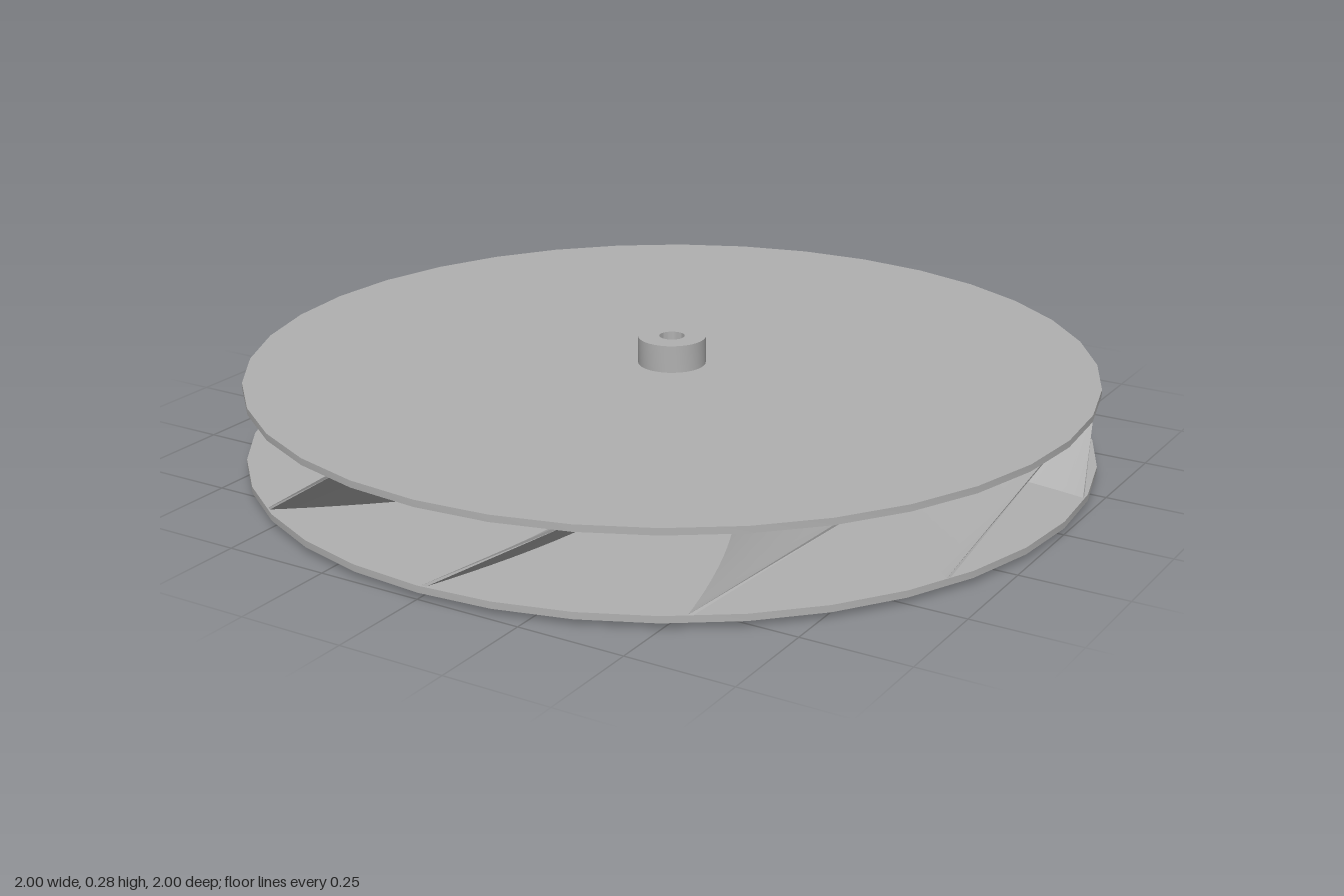
import * as THREE from 'three';
import { toCreasedNormals } from 'three/addons/utils/BufferGeometryUtils.js';

const BLADES = 11;
const PITCH = (Math.PI * 2) / BLADES;
const rad = THREE.MathUtils.degToRad;

export function createModel() {
  const model = new THREE.Group();
  model.name = 'impeller';
  const metal = new THREE.MeshStandardMaterial({ color: 0xb0b0b0 });
  metal.name = 'grey metal';

  // Turned part: closed profile, counter-clockwise in (radius, height)
  const turned = (name, profile, segments) => {
    const points = [...profile, profile[0]].map(([r, y]) => new THREE.Vector2(r, y));
    const geometry = toCreasedNormals(new THREE.LatheGeometry(points, segments), 0.5);
    const mesh = new THREE.Mesh(geometry, metal);
    mesh.name = name;
    model.add(mesh);
  };
  const ring = (name, inner, outer, y0, y1, segments) =>
    turned(name, [[inner, y0], [outer, y0], [outer, y1], [inner, y1]], segments);

  // Upper and lower discs, with the raised lip around the inlet
  ring('topDisc', 0.03, 1, 0.204, 0.22, 36);
  ring('bottomDisc', 0.32, 1, 0.015, 0.031, 36);
  ring('inletLip', 0.32, 0.355, 0, 0.016, 36);

  // Shaft collar on top and tapered hub inside, both bored through
  ring('shaftCollar', 0.03, 0.08, 0.219, 0.285, 32);
  turned('taperedHub', [[0.03, 0.018], [0.09, 0.018], [0.12, 0.206], [0.03, 0.206]], 32);

  // Blades: spiral plates whose top edge is turned ahead of the bottom edge
  const blade = bladeGeometry();
  for (let i = 0; i < BLADES; i++) {
    const mesh = new THREE.Mesh(blade, metal);
    mesh.name = 'blade' + (i + 1);
    mesh.rotation.y = i * PITCH;
    model.add(mesh);
  }
  return model;
}

function bladeGeometry() {
  const steps = 16, outer = 0.995, inner = 0.34, half = 0.006;
  const bottomY = 0.028, topY = 0.207;
  const positions = [], index = [];
  for (let i = 0; i <= steps; i++) {
    const r = THREE.MathUtils.lerp(outer, inner, i / steps);
    const sweep = rad(21.3) * Math.log(1 / r);
    // Four corners of the cross-section: bottom pair, then top pair
    for (const [side, turn, y] of [[-1, 0.4, bottomY], [1, 0.4, bottomY], [1, 18.2, topY], [-1, 18.2, topY]]) {
      const a = rad(turn) + sweep + (side * half) / r;
      positions.push(r * Math.sin(a), y, r * Math.cos(a));
    }
  }
  for (let i = 0; i < steps; i++) {
    for (let j = 0; j < 4; j++) {
      const k = (j + 1) % 4, o = i * 4, n = o + 4;
      index.push(o + j, n + j, n + k, o + j, n + k, o + k);
    }
  }
  // Tip and root end faces
  const e = steps * 4;
  index.push(0, 1, 2, 0, 2, 3, e, e + 2, e + 1, e, e + 3, e + 2);
  const geometry = new THREE.BufferGeometry();
  geometry.setAttribute('position', new THREE.Float32BufferAttribute(positions, 3));
  geometry.setIndex(index);
  return toCreasedNormals(geometry, 0.5);
}
